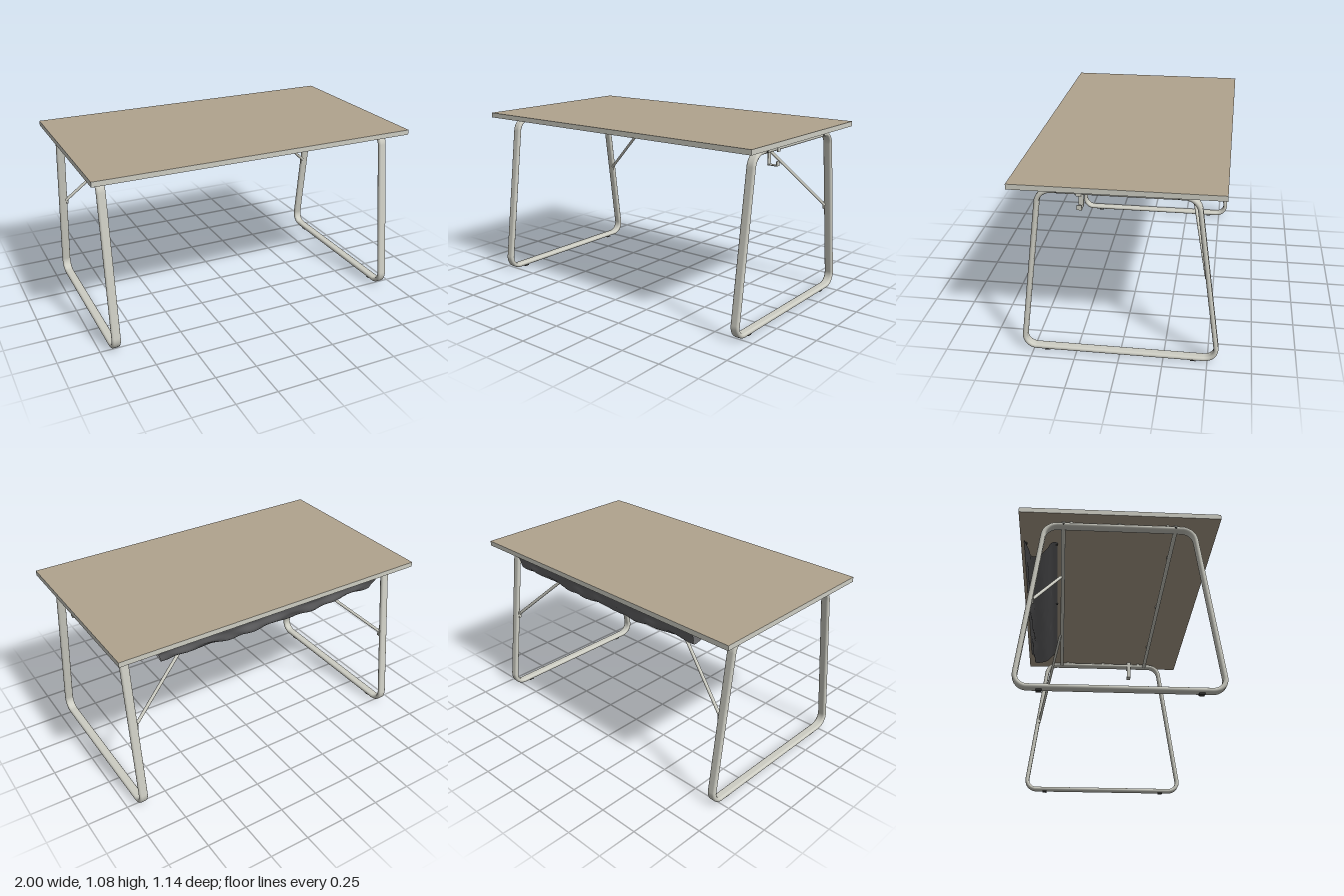
import * as THREE from 'three';

const mat = (name, color) => new THREE.MeshStandardMaterial({ name, color });

export function createModel() {
  const model = new THREE.Group();
  model.name = 'desk';
  const metal = mat('pale painted metal', 0xcdcdc3);
  const wood = mat('tan laminate', 0xb0a38e);
  const dark = mat('dark fittings', 0x3c3c3a);
  const cloth = mat('grey cloth', 0x68686a);
  cloth.side = THREE.DoubleSide;

  const add = (name, geometry, material, x = 0, y = 0, z = 0, parent = model) => {
    const m = new THREE.Mesh(geometry, material);
    m.name = name;
    m.position.set(x, y, z);
    parent.add(m);
    return m;
  };
  const rod = (name, a, b, r, parent = model) => {
    const d = b.clone().sub(a);
    const m = add(name, new THREE.CylinderGeometry(r, r, d.length(), 14), metal, 0, 0, 0, parent);
    m.position.copy(a).add(b).multiplyScalar(0.5);
    m.quaternion.setFromUnitVectors(new THREE.Vector3(0, 1, 0), d.normalize());
    return m;
  };

  // Tabletop: laminate faces with a pale edge band
  add('tabletop', new THREE.BoxGeometry(2, 0.03, 1.14), [metal, metal, wood, wood, metal, metal], 0, 1.063, 0);

  // Leg loops: flat-oval tube swept round a trapezoid with rounded corners
  const legGeometry = loopTube();
  for (const s of [-1, 1]) {
    const leg = new THREE.Group();
    leg.name = s > 0 ? 'leftLeg' : 'rightLeg';
    model.add(leg);
    add('legLoop', legGeometry, metal, s * 0.914, 0, 0, leg);
    for (const z of [-0.42, 0.42]) {
      add('footPad', new THREE.BoxGeometry(0.03, 0.012, 0.03), dark, s * 0.914, 0.006, z, leg);
    }
    // spacers between the top tube and the tabletop
    for (const z of [-0.32, -0.275, 0, 0.275, 0.32]) {
      add('spacer', new THREE.CylinderGeometry(0.012, 0.012, 0.018, 14), metal, s * 0.914, 1.041, z, leg);
    }
    // bolt heads at the rail ends
    for (const z of [-0.32, 0.32]) {
      add('bolt', new THREE.CylinderGeometry(0.006, 0.006, 0.005, 10), dark, s * 0.942, 1.022, z, leg)
        .rotation.z = Math.PI / 2;
    }
    // diagonal brace from the back rail to the back leg
    rod('brace', new THREE.Vector3(s * 0.39, 1.012, -0.333), new THREE.Vector3(s * 0.897, 0.55, -0.475), 0.0095, leg);
    add('braceBracket', new THREE.BoxGeometry(0.012, 0.045, 0.018), metal, s * 0.889, 0.55, -0.478, leg);
  }

  // Long rails under the top, with their own spacers
  for (const z of [-0.32, 0.32]) {
    rod('longRail', new THREE.Vector3(-0.9, 1.02, z), new THREE.Vector3(0.9, 1.02, z), 0.0125);
    for (const x of [-0.6, 0, 0.6]) {
      add('railSpacer', new THREE.CylinderGeometry(0.012, 0.012, 0.02, 14), metal, x, 1.04, z);
    }
  }

  // Bag hook: bent strip over the tube with an upturned lip
  const hook = new THREE.Shape();
  [[0.944, 1.003], [0.944, 1.044], [0.88, 1.044], [0.88, 0.922], [0.94, 0.922], [0.94, 0.95],
    [0.935, 0.95], [0.935, 0.927], [0.885, 0.927], [0.885, 1.039], [0.939, 1.039], [0.939, 1.003]]
    .forEach(([x, y], i) => (i ? hook.lineTo(x, y) : hook.moveTo(x, y)));
  add('bagHook', new THREE.ExtrudeGeometry(hook, { depth: 0.028, bevelEnabled: false }), metal, 0, 0, 0.186);

  // Cloth cable sling hanging from the back of the underside
  add('cableSling', slingGeometry(), cloth);
  for (const x of [-0.7, 0, 0.7]) {
    for (const z of [-0.36, -0.54]) {
      add('slingButton', new THREE.CylinderGeometry(0.01, 0.01, 0.008, 12), dark, x, 1.044, z);
    }
  }
  return model;
}

function loopTube() {
  // corners of the centreline as [z, y, rounding]
  const corners = [[0.557, 0.022, 0.078], [0.423, 1.022, 0.07], [-0.423, 1.022, 0.07], [-0.557, 0.022, 0.078]]
    .map(([z, y, r]) => ({ p: new THREE.Vector2(z, y), r }));
  const path = [];
  corners.forEach(({ p, r }, i) => {
    const toward = (q) => q.clone().sub(p).normalize();
    const a = toward(corners[(i + 3) % 4].p);
    const b = toward(corners[(i + 1) % 4].p);
    const at = (d, k) => p.clone().addScaledVector(d, r * k);
    const bend = new THREE.CubicBezierCurve(at(a, 1), at(a, 0.45), at(b, 0.45), at(b, 1));
    for (let k = 0; k <= 12; k++) {
      path.push({ p: bend.getPoint(k / 12), t: bend.getTangent(k / 12) });
    }
  });
  // flat-oval section: two half circles joined by straight sides
  const r = 0.0135;
  const section = [];
  for (const s of [1, -1]) {
    for (let k = 0; k <= 8; k++) {
      const w = -Math.PI / 2 + (Math.PI * k) / 8;
      section.push([s * (r + r * Math.cos(w)), s * r * Math.sin(w)]);
    }
  }
  const pos = [];
  const index = [];
  const m = section.length;
  path.forEach(({ p, t }, i) => {
    const next = (i + 1) % path.length;
    section.forEach(([x, o], j) => {
      pos.push(x, p.y + o * t.x, p.x - o * t.y);
      const j2 = (j + 1) % m;
      const a = i * m + j, b = i * m + j2, c = next * m + j2, d = next * m + j;
      index.push(a, b, c, a, c, d);
    });
  });
  return surface(pos, index);
}

function slingGeometry() {
  // cross-section as [z, y], from the front edge round the belly to the back edge
  const profile = new THREE.CatmullRomCurve3([[-0.355, 1.044], [-0.385, 1.028], [-0.41, 0.985], [-0.45, 0.937],
    [-0.5, 0.932], [-0.525, 0.965], [-0.535, 1.01], [-0.55, 1.044]].map(([z, y]) => new THREE.Vector3(0, y, z)));
  const nx = 72, nv = 24;
  const pos = [];
  const index = [];
  for (let i = 0; i <= nx; i++) {
    const u = (i / nx) * 2 - 1;
    const sag = 1 - 0.2 * u * u;
    for (let j = 0; j <= nv; j++) {
      const v = j / nv;
      const p = profile.getPoint(v);
      // shallow folds, fading out at the fixed edges
      const fold = Math.sin(Math.PI * v) * (0.004 * Math.sin(u * 9 + v * 14) + 0.003 * Math.sin(u * 23 - v * 19));
      pos.push(0.008 + u * (0.735 + 0.012 * Math.sin(v * 9)), 1.044 - (1.044 - p.y) * sag + fold, p.z + fold);
      if (i < nx && j < nv) {
        const a = i * (nv + 1) + j, b = a + nv + 1;
        index.push(a, a + 1, b, b, a + 1, b + 1);
      }
    }
  }
  return surface(pos, index);
}

function surface(pos, index) {
  const g = new THREE.BufferGeometry();
  g.setAttribute('position', new THREE.Float32BufferAttribute(pos, 3));
  g.setIndex(index);
  g.computeVertexNormals();
  return g;
}
